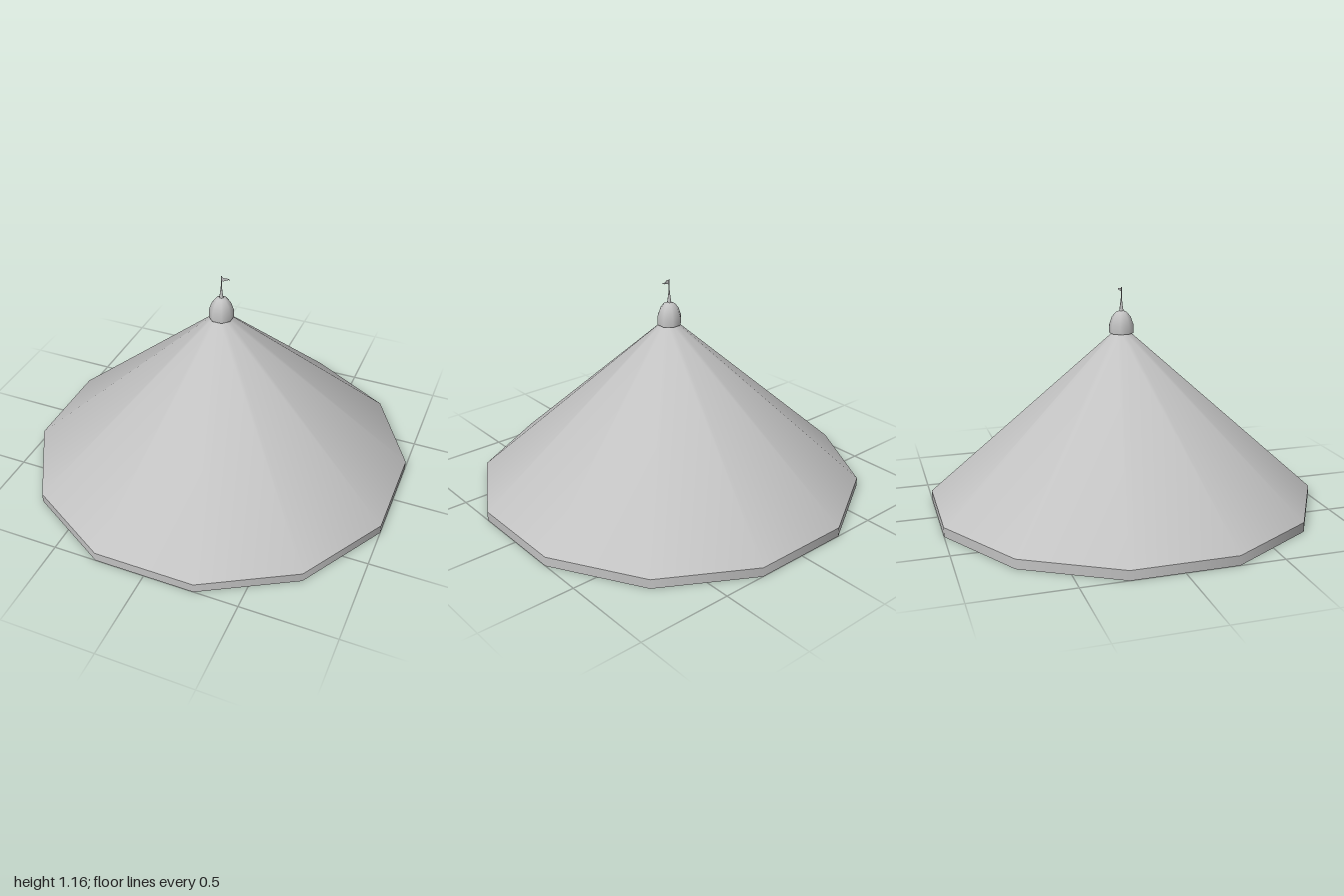
import * as THREE from 'three';

const SIDES = 12;
const RIM = 1 / Math.cos(Math.PI / SIDES); // corner radius for flats at 1

export function createModel() {
  const group = new THREE.Group();
  const grey = new THREE.MeshStandardMaterial({ color: 0xc2c2c2, side: THREE.DoubleSide });
  grey.name = 'pale grey';

  const add = (name, geometry) => {
    const mesh = new THREE.Mesh(geometry, grey);
    mesh.name = name;
    group.add(mesh);
    return mesh;
  };
  const lathe = (points, sides) => new THREE.LatheGeometry(
    points.map(([r, y]) => new THREE.Vector2(r, y)), sides, Math.PI / sides);

  // Twelve-sided canopy, open underneath, with an upright band at the eaves
  add('canopy', lathe([[RIM, 0.05], [0.05, 0.92]], SIDES));
  add('eavesBand', lathe([[RIM, 0], [RIM, 0.05]], SIDES));

  // Domed cap over the peak
  add('capBase', lathe([[0, 0.92], [0.064, 0.92]], 8));
  add('cap', lathe([[0.064, 0.92], [0.064, 0.965], [0.05, 1.005], [0.03, 1.03], [0, 1.042]], 8));

  // Tapered spire and slim flagpole
  add('spire', lathe([[0.012, 1.035], [0.008, 1.06], [0.003, 1.1]], 6));
  add('flagpole', lathe([[0.003, 1.09], [0.003, 1.16], [0, 1.16]], 6));

  // Small pennant flying towards +x, bent slightly out of plane
  const pennant = new THREE.PlaneGeometry(0.05, 0.026, 4, 1);
  const p = pennant.attributes.position;
  for (let i = 0; i < p.count; i++) {
    const t = p.getX(i) / 0.05 + 0.5;
    p.setXYZ(i, t * 0.05, 1.146 + p.getY(i) * (1 - t), 0.006 * Math.sin(t * Math.PI * 2));
  }
  pennant.computeVertexNormals();
  add('pennant', pennant);

  return group;
}
